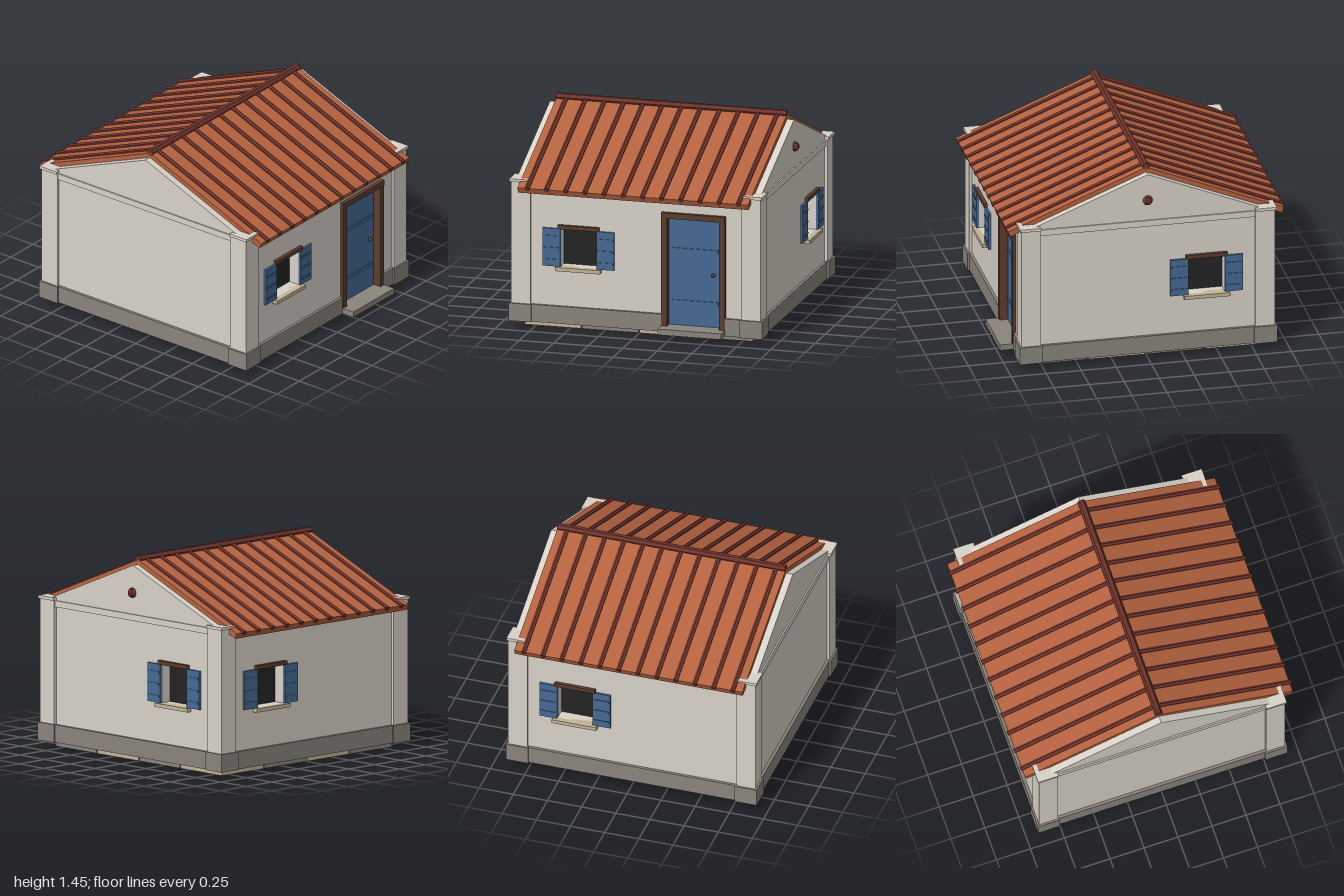
import * as THREE from 'three';

const mat = (name, color) => {
  const m = new THREE.MeshStandardMaterial({ color });
  m.name = name;
  return m;
};
const M = {
  plaster: mat('plaster', 0xd8d2c8),
  stone: mat('grey stone', 0x8a847c),
  sand: mat('sand stone', 0xc2b497),
  roof: mat('terracotta', 0xb5623f),
  rib: mat('dark terracotta', 0x6e342c),
  wood: mat('dark wood', 0x5c3c2e),
  blue: mat('blue paint', 0x456a94),
  dark: mat('dark interior', 0x242424),
};

function add(parent, name, geo, material, x = 0, y = 0, z = 0) {
  const mesh = new THREE.Mesh(geo, material);
  mesh.name = name;
  mesh.position.set(x, y, z);
  parent.add(mesh);
  return mesh;
}

// Box given by its limits on each axis
function box(parent, name, material, x0, x1, y0, y1, z0, z1) {
  return add(parent, name, new THREE.BoxGeometry(x1 - x0, y1 - y0, z1 - z0), material,
    (x0 + x1) / 2, (y0 + y1) / 2, (z0 + z1) / 2);
}

// Gives a geometry faceted normals
function facet(geo) {
  const g = geo.toNonIndexed();
  g.computeVertexNormals();
  return g;
}

const polygon = (pts) => pts.map(([x, y]) => new THREE.Vector2(x, y));

const WALL = 0.885;      // distance of the wall faces from the middle
const DEPTH = 0.08;      // wall thickness
const WIN = { half: 0.13, y0: 0.455, y1: 0.728 };

// Window with sill, lintel and open shutters, placed on a wall facing +z
function addWindow(side, cx) {
  const g = new THREE.Group();
  g.name = 'window';
  g.position.set(cx, 0, WALL);
  side.add(g);
  const { half, y0, y1 } = WIN;
  box(g, 'windowInterior', M.dark, -half - 0.01, half + 0.01, y0 - 0.01, y1 + 0.01, -DEPTH - 0.008, -DEPTH + 0.001);
  box(g, 'sill', M.sand, -0.163, 0.163, y0 - 0.027, y0, -0.03, 0.04);
  box(g, 'lintel', M.wood, -0.148, 0.148, y1, y1 + 0.028, -0.02, 0.025);
  for (const s of [-1, 1]) {
    const c = s * 0.195;
    box(g, 'shutter', M.blue, c - 0.064, c + 0.064, y0, y1, 0, 0.016);
    for (const y of [0.5, 0.585, 0.67]) {
      box(g, 'shutterRail', M.blue, c - 0.055, c + 0.055, y - 0.007, y + 0.007, 0.016, 0.022);
    }
  }
}

// One side of the house: pierced wall and cornice
function addSide(house, name, angle, outline, windowX) {
  const side = new THREE.Group();
  side.name = name;
  side.rotation.y = angle;
  house.add(side);
  const shape = new THREE.Shape(polygon(outline));
  if (windowX !== null) {
    const a = windowX - WIN.half, b = windowX + WIN.half;
    shape.holes.push(new THREE.Path(polygon([[a, WIN.y0], [a, WIN.y1], [b, WIN.y1], [b, WIN.y0]])));
    addWindow(side, windowX);
  }
  const geo = new THREE.ExtrudeGeometry(shape, { depth: DEPTH, bevelEnabled: false });
  add(side, 'wall', geo, M.plaster, 0, 0, WALL - DEPTH);
  box(side, 'cornice', M.plaster, -0.77, 0.77, 1.0, 1.045, WALL - 0.03, WALL + 0.01);
  return side;
}

function addDoor(side) {
  const door = new THREE.Group();
  door.name = 'door';
  door.position.x = 0.415;
  side.add(door);
  box(door, 'doorPanel', M.blue, -0.195, 0.195, 0.085, 0.87, 0.82, 0.85);
  for (const y of [0.257, 0.632]) box(door, 'doorRail', M.blue, -0.168, 0.168, y - 0.012, y + 0.012, 0.85, 0.858);
  for (const s of [-1, 1]) {
    const c = s * 0.21;
    box(door, 'doorJamb', M.wood, c - 0.021, c + 0.021, 0.085, 0.865, 0.81, 0.91);
  }
  box(door, 'doorLintel', M.wood, -0.231, 0.231, 0.865, 0.905, 0.81, 0.915);
  add(door, 'doorKnob', new THREE.SphereGeometry(0.015, 10, 8), M.wood, 0.135, 0.465, 0.864);
  box(door, 'doorStep', M.stone, -0.231, 0.231, 0.045, 0.087, 0.8, 1.0);
}

function addRoof(house) {
  const slope = Math.atan(0.405), top = 1.425;
  const section = new THREE.Shape(polygon([[0, top], [0, 1.38], [0.969, 0.987], [0.985, 1.026]]));
  const slab = new THREE.ExtrudeGeometry(section, { depth: 1.67, bevelEnabled: false });
  slab.rotateY(-Math.PI / 2);          // profile to z, length to x
  slab.translate(0.835, 0, 0);
  const length = 0.992 / Math.cos(slope);
  const rib = facet(new THREE.CylinderGeometry(0.018, 0.018, length, 6));
  rib.rotateX(Math.PI / 2 + slope);
  for (const angle of [0, Math.PI]) {
    const half = new THREE.Group();
    half.name = 'roofSlope';
    half.rotation.y = angle;
    house.add(half);
    add(half, 'roofSlab', slab, M.roof);
    for (let i = 0; i < 12; i++) {
      add(half, 'roofRib', rib, M.rib, (i - 5.5) * 0.139, top - 0.496 * 0.405, 0.496);
    }
  }
  const ridge = facet(new THREE.CylinderGeometry(0.027, 0.027, 1.67, 6));
  ridge.rotateZ(Math.PI / 2);
  add(house, 'ridgeCap', ridge, M.rib, 0, 1.429, 0);
}

export function createModel() {
  const model = new THREE.Group();
  model.name = 'cottage';
  const house = new THREE.Group();
  house.name = 'house';
  house.position.x = -0.005;
  model.add(house);

  // Checkered floor tiles under the plinth
  for (let i = 0; i < 4; i++) {
    for (let j = 0; j < 4; j++) {
      const x = (i - 1.5) * 0.416, z = (1.5 - j) * 0.416;
      box(house, 'floorTile', (i + j) % 2 ? M.stone : M.sand, x - 0.203, x + 0.203, 0, 0.046, z - 0.203, z + 0.203);
    }
  }

  // Plinth, leaving a gap in front for the door
  box(house, 'plinth', M.stone, -0.905, 0.905, 0.045, 0.17, -0.905, 0.815);
  box(house, 'plinthFrontLeft', M.stone, 0.644, 0.905, 0.045, 0.17, 0.815, 0.905);
  box(house, 'plinthFrontRight', M.stone, -0.905, 0.186, 0.045, 0.17, 0.815, 0.905);

  // Corner posts with feet and caps
  for (const sx of [-1, 1]) {
    for (const sz of [-1, 1]) {
      const post = (name, material, inner, outer, y0, y1) => {
        const c = (inner + outer) / 2, w = outer - inner;
        add(house, name, new THREE.BoxGeometry(w, y1 - y0, w), material, sx * c, (y0 + y1) / 2, sz * c);
      };
      post('cornerFoot', M.stone, 0.755, 0.918, 0.044, 0.171);
      post('cornerPost', M.plaster, 0.765, 0.905, 0.17, 1.046);
      post('postCap', M.plaster, 0.765, 0.915, 1.046, 1.067);
    }
  }

  // Walls
  const w = 0.88, eave = 1.03;
  const plain = [[-w, 0.16], [w, 0.16], [w, eave], [-w, eave]];
  const withDoor = [[-w, 0.16], [0.2, 0.16], [0.2, 0.88], [0.63, 0.88], [0.63, 0.16], [w, 0.16], [w, eave], [-w, eave]];
  const gable = [[-w, 0.16], [w, 0.16], [w, 1.034], [0, 1.39], [-w, 1.034]];
  const front = addSide(house, 'frontSide', 0, withDoor, -0.418);
  addSide(house, 'backSide', Math.PI, plain, -0.418);
  const left = addSide(house, 'leftSide', Math.PI / 2, gable, 0.418);
  addSide(house, 'rightSide', -Math.PI / 2, gable, null);
  addDoor(front);

  // Round gable ornament
  add(left, 'gableKnob', facet(new THREE.SphereGeometry(0.036, 6, 5)), M.rib, 0, 1.197, WALL + 0.004);

  addRoof(house);
  return model;
}
